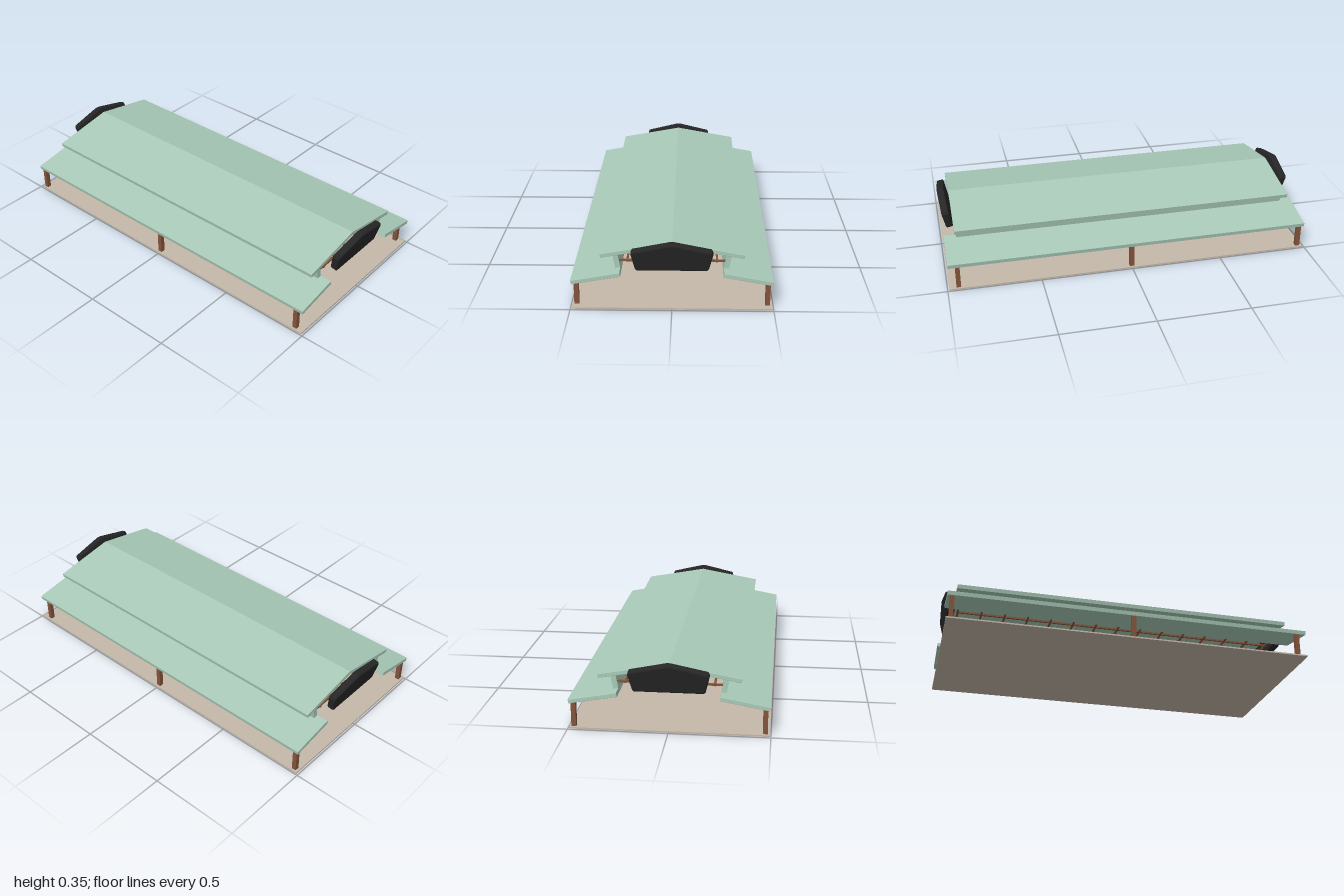
import * as THREE from 'three';

const mat = (name, color) => {
  const m = new THREE.MeshStandardMaterial({ color });
  m.name = name;
  return m;
};

export function createModel() {
  const model = new THREE.Group();
  model.name = 'pavilion';
  const green = mat('pale green', 0xa9cab8);
  const wood = mat('brown wood', 0x84543a);
  const dark = mat('near black', 0x262626);
  const stone = mat('beige floor', 0xc4b8a8);

  const add = (name, geometry, material, parent = model) => {
    const mesh = new THREE.Mesh(geometry, material);
    mesh.name = name;
    parent.add(mesh);
    return mesh;
  };
  const box = (name, w, h, d, x, y, z, material) => {
    const mesh = add(name, new THREE.BoxGeometry(w, h, d), material);
    mesh.position.set(x, y, z);
    return mesh;
  };
  // Extrudes a [z, y] outline along x, centred on x = 0
  const prism = (points, length, bevel = 0) => {
    const shape = new THREE.Shape(points.map(([z, y]) => new THREE.Vector2(-z, y)));
    const depth = length - 2 * bevel;
    return new THREE.ExtrudeGeometry(shape, {
      depth, bevelEnabled: bevel > 0, bevelSize: bevel, bevelOffset: -bevel,
      bevelThickness: bevel, bevelSegments: 2,
    }).translate(0, 0, -depth / 2).rotateY(Math.PI / 2);
  };

  box('floor', 1.98, 0.008, 0.99, 0, 0.004, 0, stone);

  // Upper gabled roof
  add('upperRoof', prism([
    [-0.355, 0.272], [-0.351, 0.251], [0, 0.314],
    [0.351, 0.251], [0.355, 0.272], [0, 0.336],
  ], 1.87, 0.002), green);

  for (const s of [1, -1]) {
    // Lower sloping roof and the leaning wall above it
    add('lowerRoof', prism([
      [s * 0.495, 0.154], [s * 0.491, 0.133], [s * 0.25, 0.176], [s * 0.254, 0.198],
    ], 1.98, 0.002), green);
    add('clerestoryWall', prism([
      [s * 0.278, 0.189], [s * 0.252, 0.189], [s * 0.266, 0.264], [s * 0.292, 0.261],
    ], 1.85), green);
    for (const x of [-0.965, 0, 0.94]) {
      box('post', 0.024, 0.134, 0.024, x, 0.073, s * 0.472, wood);
    }
  }

  // Ceiling frame of crossing rods
  for (let i = 0; i <= 14; i++) {
    box('crossBeam', 0.01, 0.01, 0.53, -0.91 + i * 0.13, 0.23, 0, wood);
  }
  for (let i = -2; i <= 2; i++) {
    box('longBeam', 1.84, 0.01, 0.01, 0, 0.23, i * 0.11, wood);
  }

  // Dark gable panels leaning outward at both ends
  const gable = [
    [-0.172, 0], [-0.18, 0.008], [-0.2, 0.094], [-0.194, 0.109], [-0.01, 0.151],
    [0.01, 0.151], [0.194, 0.109], [0.2, 0.094], [0.18, 0.008], [0.172, 0],
  ];
  for (const s of [1, -1]) {
    const panel = add('gablePanel', prism(gable, 0.04, 0.008), dark);
    panel.position.set(s * 0.948, 0.202, 0);
    panel.rotation.z = -s * 0.21;
  }

  return model;
}
